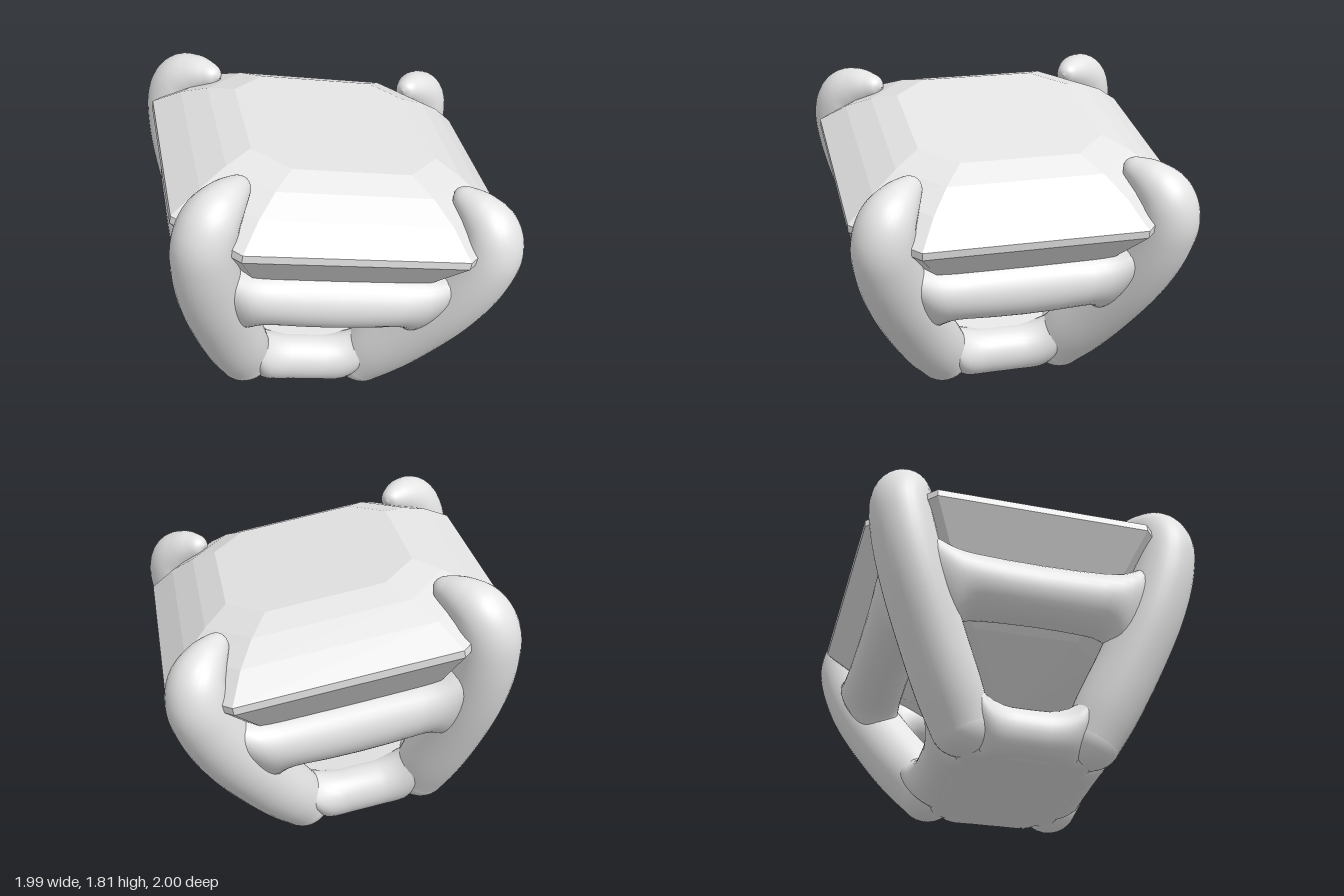
import * as THREE from 'three';
import { RoundedBoxGeometry } from 'three/addons/geometries/RoundedBoxGeometry.js';

const LEAN = 0.42; // how far a prong leans out in x and in z per unit of height

// Skin a list of equal-length closed rings of Vector3
function loft(rings, flat = false) {
  const n = rings[0].length, pos = [], idx = [];
  rings.forEach(r => r.forEach(p => pos.push(p.x, p.y, p.z)));
  for (let i = 0; i < rings.length - 1; i++) {
    for (let j = 0; j < n; j++) {
      const a = i * n + j, b = i * n + (j + 1) % n;
      idx.push(a, a + n, b, b, a + n, b + n);
    }
  }
  let geo = new THREE.BufferGeometry();
  geo.setAttribute('position', new THREE.Float32BufferAttribute(pos, 3));
  geo.setIndex(idx);
  if (flat) geo = geo.toNonIndexed();
  geo.computeVertexNormals();
  return geo;
}

// Elliptical ring round c, spanned by u and v
function ellipse(c, u, v, n = 32) {
  return Array.from({ length: n }, (_, j) => {
    const a = j / n * Math.PI * 2;
    return c.clone().addScaledVector(u, Math.cos(a)).addScaledVector(v, Math.sin(a));
  });
}

// Step-cut stone: each level is [half width, half flat length, height]
function gemGeometry() {
  const levels = [
    [0, 0, 0], [0.5, 0.32, 0.305], [0.78, 0.5, 0.56], [0.988, 0.64, 0.828],
    [0.988, 0.64, 0.874], [0.835, 0.55, 1.0], [0.69, 0.45, 1.09], [0.545, 0.345, 1.15], [0, 0, 1.15],
  ];
  return loft(levels.map(([w, c, y]) =>
    [[w, -c], [w, c], [c, w], [-c, w], [-w, c], [-w, -c], [-c, -w], [c, -w]]
      .map(([x, z]) => new THREE.Vector3(x, y, z))), true);
}

// Corner prong in the diagonal plane: points are (x = z offset, height, radius)
function prongGeometry() {
  const path = new THREE.CatmullRomCurve3([
    [0.385, -0.3, 0.175], [0.465, -0.14, 0.19], [0.573, 0.08, 0.193], [0.718, 0.42, 0.193],
    [0.798, 0.69, 0.187], [0.82, 0.86, 0.177], [0.79, 0.97, 0.162], [0.725, 1.037, 0.128],
    [0.66, 1.072, 0.088], [0.618, 1.086, 0.054], [0.598, 1.088, 0],
  ].map(p => new THREE.Vector3(...p)));
  const side = new THREE.Vector3(1, 0, -1).normalize();
  const rings = [];
  for (let i = 0; i <= 80; i++) {
    const p = path.getPoint(i / 80), t = path.getTangent(i / 80);
    const r = Math.max(p.z, 0);
    const up = new THREE.Vector3(t.x, t.y, t.x).normalize().cross(side);
    rings.push(ellipse(new THREE.Vector3(p.x, p.y, p.x), up.multiplyScalar(r), side.clone().multiplyScalar(r)));
  }
  return loft(rings);
}

// Cross bar along x at distance z; half profile of [x, bottom, top, half depth].
// Its sections turn gradually into line with the leaning prongs.
function barGeometry(z, half) {
  const reach = half[half.length - 1][0];
  const baseMid = (half[0][1] + half[0][2]) / 2;
  const all = [...half.slice(1).reverse().map(([x, ...rest]) => [-x, ...rest]), ...half];
  return loft(all.map(([x, bottom, top, depth]) => {
    const mid = (bottom + top) / 2, h = (top - bottom) / 2, s = x / reach;
    return ellipse(
      new THREE.Vector3(x, mid, z + LEAN * (mid - baseMid)),
      new THREE.Vector3(-LEAN * h * s, -h, -LEAN * h * s * s),
      new THREE.Vector3(0, 0, depth));
  }));
}

export function createModel() {
  const grey = new THREE.MeshStandardMaterial({ color: 0xe4e4e4 });
  grey.name = 'light grey';

  const model = new THREE.Group();
  model.name = 'gemSetting';

  // Whole setting leans towards +x; its origin is the stone's lowest point
  const setting = new THREE.Group();
  setting.name = 'tiltedSetting';
  setting.rotation.z = -0.181;
  setting.position.set(-0.141, 0.54, 0);
  model.add(setting);

  const add = (name, geo, turn = 0) => {
    const mesh = new THREE.Mesh(geo, grey);
    mesh.name = name;
    mesh.rotation.y = turn * Math.PI / 2;
    setting.add(mesh);
    return mesh;
  };

  add('gemstone', gemGeometry());

  // Bars swell where they reach the prongs, then thin out inside them
  const prong = prongGeometry();
  const foot = new THREE.SphereGeometry(0.175, 32, 20).translate(0.385, -0.3, 0.385);
  const upperBar = barGeometry(0.725, [
    [0, 0.24, 0.6, 0.178], [0.2, 0.24, 0.6, 0.178], [0.36, 0.24, 0.6, 0.178],
    [0.42, 0.236, 0.604, 0.178], [0.47, 0.222, 0.616, 0.177], [0.51, 0.2, 0.636, 0.174],
    [0.55, 0.17, 0.662, 0.166], [0.59, 0.145, 0.685, 0.15], [0.63, 0.13, 0.7, 0.125],
    [0.67, 0.13, 0.7, 0.095], [0.71, 0.16, 0.67, 0.06],
  ]);
  const lowerBar = barGeometry(0.388, [
    [0, -0.465, -0.167, 0.142], [0.1, -0.466, -0.167, 0.143], [0.15, -0.468, -0.16, 0.147],
    [0.2, -0.47, -0.142, 0.152], [0.24, -0.472, -0.115, 0.156], [0.28, -0.473, -0.075, 0.157],
    [0.32, -0.473, -0.025, 0.15], [0.37, -0.465, 0.03, 0.128], [0.42, -0.44, 0.06, 0.09],
  ]);
  for (let k = 0; k < 4; k++) {
    add('prong', prong, k);
    add('prongFoot', foot, k);
    add('upperBar', upperBar, k);
    add('lowerBar', lowerBar, k);
  }

  // Solid floor between the lower bars
  add('basePlate', new RoundedBoxGeometry(0.84, 0.298, 0.84, 5, 0.08)).position.y = -0.321;

  return model;
}
